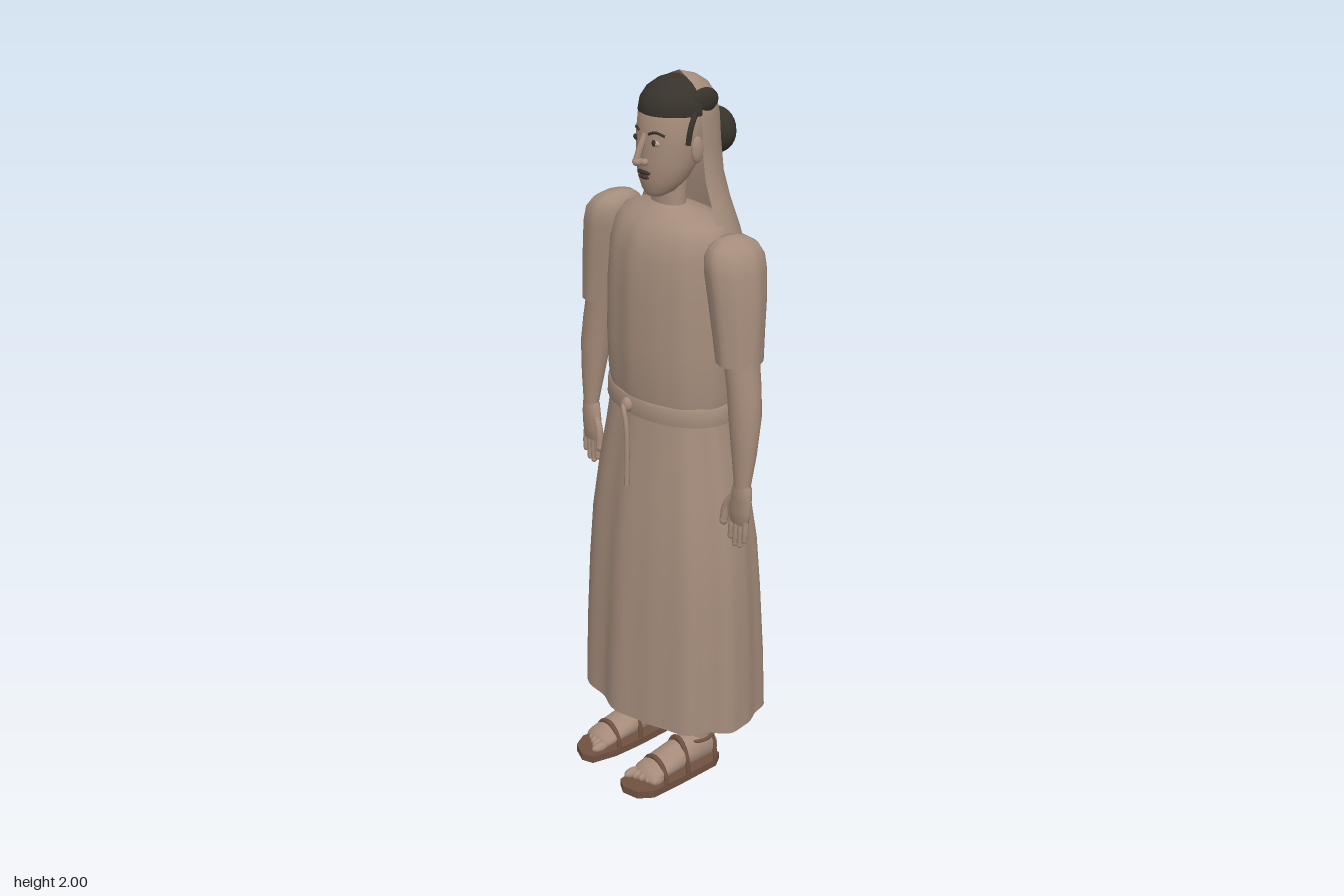
import * as THREE from 'three';

const mat = (name, color, side = THREE.FrontSide) => {
  const m = new THREE.MeshStandardMaterial({ color, side });
  m.name = name;
  return m;
};

// Skin of elliptical rings [y, rx, rz, cx, cz]; fold(angle, t) scales the radius
function loft(rings, { seg = 32, a0 = 0, a1 = Math.PI * 2, fold = () => 1 } = {}) {
  const closed = a1 - a0 > 6.28, cols = closed ? seg : seg + 1;
  const pos = [], idx = [];
  rings.forEach(([y, rx, rz, cx = 0, cz = 0], j) => {
    for (let i = 0; i < cols; i++) {
      const a = a0 + (a1 - a0) * i / seg, f = fold(a, j / (rings.length - 1));
      pos.push(cx + rx * f * Math.sin(a), y, cz + rz * f * Math.cos(a));
    }
  });
  for (let j = 0; j < rings.length - 1; j++) {
    for (let i = 0; i < seg; i++) {
      const k = (i + 1) % cols, a = j * cols + i, b = j * cols + k;
      idx.push(a, b, b + cols, a, b + cols, a + cols);
    }
  }
  const g = new THREE.BufferGeometry();
  g.setAttribute('position', new THREE.Float32BufferAttribute(pos, 3));
  g.setIndex(idx);
  g.computeVertexNormals();
  return g;
}

export function createModel() {
  const root = new THREE.Group();
  root.name = 'robedFigure';
  const cloth = mat('cloth', 0xa48c7b, THREE.DoubleSide);
  const skin = mat('skin', 0xa58b79);
  const hair = mat('hair', 0x37332b);
  const leather = mat('leather', 0x6f5140);
  const lip = mat('lip', 0x4a2f2a);
  const white = mat('eyeWhite', 0xb5a698);

  const add = (name, geo, m, parent = root) => {
    const mesh = new THREE.Mesh(geo, m);
    mesh.name = name;
    parent.add(mesh);
    return mesh;
  };
  const ball = (name, p, s, m, parent) => {
    const mesh = add(name, new THREE.SphereGeometry(1, 20, 14), m, parent);
    mesh.position.set(...p);
    mesh.scale.set(...s);
    return mesh;
  };
  const tube = (name, pts, r, m, parent) => add(name, new THREE.TubeGeometry(
    new THREE.CatmullRomCurve3(pts.map(p => new THREE.Vector3(...p))), 20, r, 8), m, parent);

  const pleat = a => Math.sin(9 * a + 0.5) + 0.6 * Math.sin(14 * a + 1.3);

  // Skirt with pleats deepening towards the hem
  add('skirt', loft([
    [0.22, 0.302, 0.212, 0, -0.012], [0.4, 0.297, 0.206, 0, -0.012],
    [0.6, 0.287, 0.195, 0, -0.011], [0.75, 0.276, 0.184, 0, -0.011],
    [0.9, 0.25, 0.166, 0, -0.01], [1.02, 0.225, 0.148, 0, -0.01],
    [1.12, 0.205, 0.136, 0, -0.009], [1.16, 0.2, 0.13, 0, -0.009],
  ], { seg: 96, fold: (a, t) => 1 + (0.026 - 0.016 * t) * pleat(a) }), cloth);

  // Bodice closing in to the neck
  add('bodice', loft([
    [1.13, 0.198, 0.134, 0, -0.01], [1.19, 0.207, 0.145, 0, -0.01],
    [1.3, 0.208, 0.15, 0, -0.01], [1.45, 0.203, 0.15, 0, -0.012],
    [1.55, 0.198, 0.143, 0, -0.014], [1.6, 0.19, 0.128, 0, -0.016],
    [1.63, 0.168, 0.106, 0, -0.014], [1.65, 0.12, 0.075, 0, -0.008],
    [1.665, 0.065, 0.048, 0, 0], [1.672, 0.05, 0.036, 0, 0.003],
  ], { seg: 80, fold: (a, t) => 1 + 0.013 * Math.sin(Math.PI * Math.min(1, t + 0.15)) * pleat(a) }), cloth);

  // Belt with a knot and hanging end
  add('belt', loft([
    [1.11, 0.205, 0.139, 0, -0.01], [1.112, 0.214, 0.147, 0, -0.01],
    [1.157, 0.21, 0.146, 0, -0.01], [1.16, 0.198, 0.136, 0, -0.01],
  ], { seg: 64 }), cloth);
  ball('beltKnot', [0, 1.135, 0.14], [0.018, 0.02, 0.014], cloth);
  tube('beltEnd', [[-0.015, 1.14, 0.14], [0.005, 1.13, 0.155], [0.02, 1.09, 0.158],
    [0.026, 1.02, 0.16], [0.027, 0.915, 0.163]], 0.007, cloth);

  // Neck and head
  add('neck', loft([[1.62, 0.065, 0.045, 0, 0], [1.67, 0.055, 0.038, 0, 0.003],
    [1.76, 0.056, 0.045, 0, 0]]), skin);
  const head = new THREE.Group();
  head.name = 'head';
  root.add(head);
  add('skull', loft([
    [1.69, 0.001, 0.001, 0, 0.045], [1.694, 0.026, 0.022, 0, 0.045],
    [1.71, 0.05, 0.043, 0, 0.031], [1.74, 0.07, 0.062, 0, 0.019],
    [1.78, 0.084, 0.077, 0, 0.006], [1.84, 0.093, 0.088, 0, -0.006],
    [1.9, 0.091, 0.09, 0, -0.014], [1.95, 0.072, 0.07, 0, -0.02],
    [1.975, 0.035, 0.035, 0, -0.02], [1.982, 0.001, 0.001, 0, -0.02],
  ]), skin, head);
  tube('noseBridge', [[0, 1.855, 0.075], [0, 1.825, 0.09], [0, 1.79, 0.104]], 0.009, skin, head);
  ball('noseTip', [0, 1.788, 0.1], [0.013, 0.012, 0.014], skin, head);
  ball('upperLip', [0, 1.757, 0.081], [0.026, 0.006, 0.008], hair, head);
  ball('lowerLip', [0, 1.745, 0.08], [0.02, 0.006, 0.008], lip, head);
  for (const s of [1, -1]) {
    ball('nostril', [s * 0.014, 1.787, 0.088], [0.009, 0.009, 0.01], skin, head);
    ball('eye', [s * 0.037, 1.838, 0.073], [0.017, 0.008, 0.006], white, head);
    ball('pupil', [s * 0.037, 1.839, 0.077], [0.008, 0.008, 0.004], hair, head);
    tube('eyebrow', [[s * 0.018, 1.858, 0.079], [s * 0.038, 1.865, 0.073], [s * 0.06, 1.857, 0.059]], 0.0035, hair, head);
    ball('ear', [s * 0.096, 1.82, -0.014], [0.01, 0.034, 0.018], skin, head);
    tube('sideburn', [[s * 0.092, 1.915, -0.012], [s * 0.096, 1.88, 0.006], [s * 0.091, 1.835, 0.012]], 0.007, hair, head);
    ball('sideHair', [s * 0.078, 1.936, -0.05], [0.016, 0.032, 0.042], hair, head);
  }
  // Front hair, and the bun behind the veil
  add('frontHair', loft([
    [1.9, 0.088, 0.1, 0, -0.03], [1.905, 0.096, 0.108, 0, -0.03],
    [1.935, 0.091, 0.103, 0, -0.03], [1.96, 0.075, 0.087, 0, -0.03],
    [1.978, 0.052, 0.06, 0, -0.03], [1.988, 0.026, 0.03, 0, -0.03], [1.992, 0.001, 0.001, 0, -0.03],
  ], { seg: 28, a0: -Math.PI / 2, a1: Math.PI / 2 }), hair, head);
  ball('bun', [0, 1.828, -0.153], [0.058, 0.06, 0.045], hair, head);

  // Veil open at the front, spreading over the back
  add('veil', loft([
    [1.42, 0.226, 0.192, 0, -0.03], [1.5, 0.205, 0.173, 0, -0.03],
    [1.6, 0.174, 0.148, 0, -0.03], [1.67, 0.139, 0.13, 0, -0.03],
    [1.74, 0.109, 0.118, 0, -0.03], [1.82, 0.097, 0.113, 0, -0.03],
    [1.89, 0.094, 0.108, 0, -0.03], [1.935, 0.085, 0.098, 0, -0.03],
    [1.965, 0.064, 0.08, 0, -0.03], [1.985, 0.038, 0.05, 0, -0.03], [2.0, 0.001, 0.001, 0, -0.03],
  ], { seg: 40, a0: Math.PI / 2, a1: Math.PI * 1.5 }), cloth);

  for (const s of [1, -1]) {
    const X = rings => rings.map(([y, rx, rz, cx, cz]) => [y, rx, rz, s * cx, cz]);

    // Short sleeve, open at its hem
    add('sleeve', loft(X([
      [1.32, 0.055, 0.062, 0.291, 0], [1.4, 0.061, 0.068, 0.281, -0.003],
      [1.48, 0.066, 0.076, 0.27, -0.007], [1.55, 0.067, 0.082, 0.259, -0.009],
      [1.59, 0.063, 0.08, 0.252, -0.01], [1.615, 0.05, 0.066, 0.246, -0.012],
      [1.63, 0.03, 0.04, 0.24, -0.014], [1.636, 0.001, 0.001, 0.235, -0.015],
    ]), { fold: a => 1 + 0.025 * Math.sin(8 * a) }), cloth);

    // Arm and hand
    const arm = new THREE.Group();
    arm.name = s > 0 ? 'leftArm' : 'rightArm';
    root.add(arm);
    add('forearm', loft(X([
      [0.96, 0.024, 0.018, 0.336, 0.022], [1.0, 0.026, 0.02, 0.335, 0.02],
      [1.08, 0.036, 0.03, 0.332, 0.014], [1.18, 0.045, 0.041, 0.325, 0.007],
      [1.25, 0.046, 0.043, 0.315, 0.003], [1.32, 0.046, 0.046, 0.3, 0], [1.45, 0.05, 0.05, 0.28, 0],
    ]), { seg: 20 }), skin, arm);
    add('palm', loft(X([
      [0.878, 0.001, 0.001, 0.328, 0.024], [0.884, 0.034, 0.012, 0.328, 0.024],
      [0.92, 0.04, 0.017, 0.328, 0.022], [0.96, 0.036, 0.019, 0.333, 0.021],
      [0.99, 0.03, 0.02, 0.335, 0.02], [1.005, 0.02, 0.015, 0.335, 0.02],
    ]), { seg: 20 }), skin, arm);
    [0.83, 0.815, 0.818, 0.838].forEach((tip, i) => {
      const x = 0.3 + i * 0.0185;
      tube('finger', [[s * x, 0.9, 0.024], [s * (x + 0.001), 0.865, 0.026], [s * (x - 0.001), tip + 0.006, 0.026]], 0.0085, skin, arm);
      ball('fingertip', [s * (x - 0.001), tip + 0.006, 0.026], [0.0085, 0.009, 0.0085], skin, arm);
    });
    tube('thumb', [[s * 0.305, 0.955, 0.024], [s * 0.284, 0.92, 0.03], [s * 0.278, 0.875, 0.034]], 0.011, skin, arm);
    ball('thumbTip', [s * 0.278, 0.875, 0.034], [0.011, 0.013, 0.011], skin, arm);

    // Leg and foot
    const leg = new THREE.Group();
    leg.name = s > 0 ? 'leftLeg' : 'rightLeg';
    leg.position.x = s * 0.113;
    root.add(leg);
    add('shin', loft([[0.06, 0.036, 0.042, 0, -0.02], [0.12, 0.034, 0.036, 0, -0.017],
      [0.22, 0.041, 0.041, 0, -0.013], [0.36, 0.054, 0.055, 0, -0.013], [0.6, 0.06, 0.062, 0, -0.01]]), skin, leg);
    // Foot rings run along z: [z, half width, half height, x, -height]
    const foot = loft([
      [-0.076, 0.001, 0.001, 0, -0.055], [-0.07, 0.024, 0.028, 0, -0.055],
      [-0.045, 0.037, 0.045, 0, -0.064], [0, 0.042, 0.053, 0, -0.07],
      [0.05, 0.045, 0.046, 0, -0.064], [0.11, 0.049, 0.034, 0, -0.053],
      [0.165, 0.049, 0.022, 0, -0.042], [0.18, 0.042, 0.016, 0, -0.036], [0.186, 0.001, 0.001, 0, -0.036],
    ]);
    foot.rotateX(Math.PI / 2);
    add('foot', foot, skin, leg);
    for (let i = 0; i < 5; i++) {
      ball('toe', [s * (-0.034 + i * 0.019), 0.036, 0.19 - i * 0.008],
        [i ? 0.0095 : 0.014, 0.014, i ? 0.022 : 0.028], skin, leg);
    }

    // Sandal sole and straps
    const outline = [[-0.055, 0.06], [-0.058, 0.15], [-0.045, 0.225], [-0.013, 0.24], [0.035, 0.225],
      [0.06, 0.185], [0.055, 0.08], [0.044, -0.05], [0.022, -0.078], [-0.022, -0.078], [-0.044, -0.05]];
    const shape = new THREE.Shape(outline.map(([x, z]) => new THREE.Vector2(s * x, z)));
    const sole = new THREE.ExtrudeGeometry(shape, { depth: 0.022, bevelEnabled: false });
    sole.rotateX(Math.PI / 2).translate(0, 0.022, 0);
    add('sole', sole, leather, leg);
    for (const [z, w, h] of [[0.055, 0.049, 0.092], [0.135, 0.053, 0.06], [-0.05, 0.04, 0.088]]) {
      const strap = add('strap', new THREE.TorusGeometry(1, 0.12, 8, 24, Math.PI), leather, leg);
      strap.position.set(0, 0.02, z);
      strap.scale.set(w, h, 0.06);
    }
    const ankle = add('ankleStrap', new THREE.TorusGeometry(0.042, 0.005, 8, 28), leather, leg);
    ankle.rotation.x = Math.PI / 2 + 0.1;
    ankle.position.set(0, 0.105, -0.018);
    ankle.scale.y = 1.12;
  }
  return root;
}
